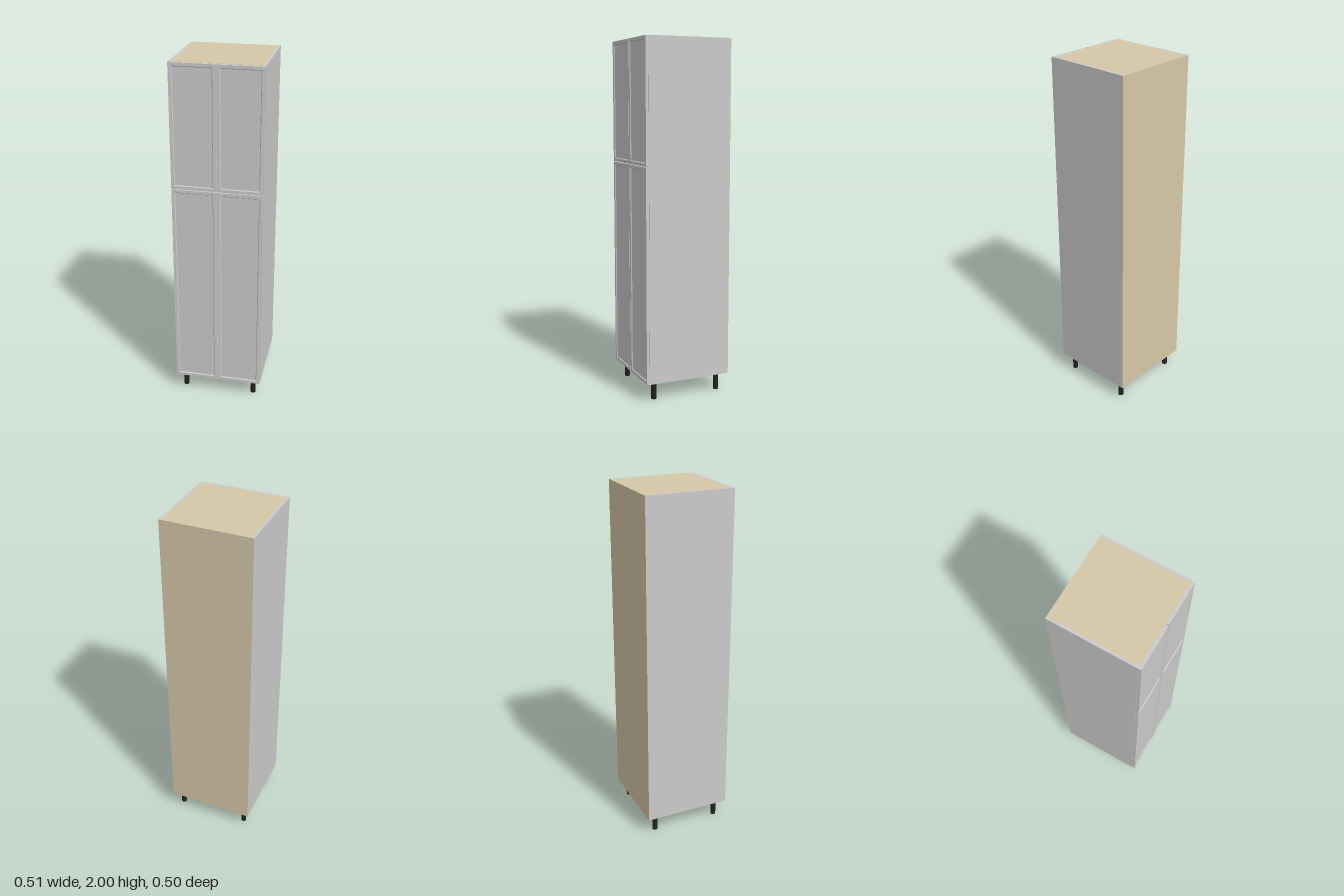
import * as THREE from 'three';

const grey = new THREE.MeshStandardMaterial({ color: 0xcccccc, flatShading: true });
const beige = new THREE.MeshStandardMaterial({ color: 0xd6c8a8, flatShading: true });
const black = new THREE.MeshStandardMaterial({ color: 0x222222 });

// Box given by its minimum and maximum corners
function panel(group, name, material, min, max) {
  const size = max.map((v, i) => v - min[i]);
  const mesh = new THREE.Mesh(new THREE.BoxGeometry(...size), material);
  mesh.position.set(...max.map((v, i) => (v + min[i]) / 2));
  mesh.name = name;
  group.add(mesh);
}

// Framed door: rectangular loops [inset, z] from the back, over the frame, into the recess
function doorGeometry(w, h, depth) {
  const loops = [[0, 0], [0, depth], [0.017, depth], [0.021, depth - 0.005]];
  const positions = [], index = [];
  for (const [inset, z] of loops) {
    const x = w / 2 - inset, y = h / 2 - inset;
    positions.push(-x, -y, z, x, -y, z, x, y, z, -x, y, z);
  }
  for (let l = 0; l < loops.length - 1; l++) {
    for (let i = 0; i < 4; i++) {
      const a = l * 4 + i, b = l * 4 + (i + 1) % 4;
      index.push(a, b, b + 4, a, b + 4, a + 4);
    }
  }
  const c = (loops.length - 1) * 4;
  index.push(0, 2, 1, 0, 3, 2, c, c + 1, c + 2, c, c + 2, c + 3);
  const indexed = new THREE.BufferGeometry();
  indexed.setAttribute('position', new THREE.Float32BufferAttribute(positions, 3));
  indexed.setIndex(index);
  const geometry = indexed.toNonIndexed();
  geometry.computeVertexNormals();
  return geometry;
}

export function createModel() {
  const model = new THREE.Group();
  model.name = 'tallCabinet';
  const half = 0.253, inner = 0.239, back = -0.253, front = 0.235, base = 0.1, top = 2;

  // Carcass
  panel(model, 'rightSide', grey, [-half, base, back + 0.002], [-inner, top, front]);
  panel(model, 'leftSide', grey, [inner, base, back + 0.002], [half, top, front]);
  panel(model, 'topPanel', beige, [-inner, top - 0.014, back + 0.002], [inner, top, front]);
  panel(model, 'bottomPanel', beige, [-inner, base, back + 0.002], [inner, base + 0.014, front]);
  panel(model, 'middleShelf', beige, [-inner, 1.303, back + 0.002], [inner, 1.317, front]);
  panel(model, 'backPanel', beige, [-half, base, back], [half, top, back + 0.002]);

  // Doors: a tall lower pair and a shorter upper pair
  for (const [level, y0, y1] of [['lower', 0.101, 1.308], ['upper', 1.312, 1.999]]) {
    for (const side of [-1, 1]) {
      const door = new THREE.Mesh(doorGeometry(0.249, y1 - y0, 0.017), grey);
      door.position.set(side * 0.1265, (y0 + y1) / 2, front);
      door.name = level + (side > 0 ? 'LeftDoor' : 'RightDoor');
      model.add(door);
    }
  }

  // Legs
  const legGeometry = new THREE.CylinderGeometry(0.015, 0.015, base, 24);
  for (const x of [-0.207, 0.207]) {
    for (const z of [-0.197, 0.193]) {
      const leg = new THREE.Mesh(legGeometry, black);
      leg.position.set(x, base / 2, z);
      leg.name = (z > 0 ? 'front' : 'back') + (x > 0 ? 'LeftLeg' : 'RightLeg');
      model.add(leg);
    }
  }
  return model;
}
